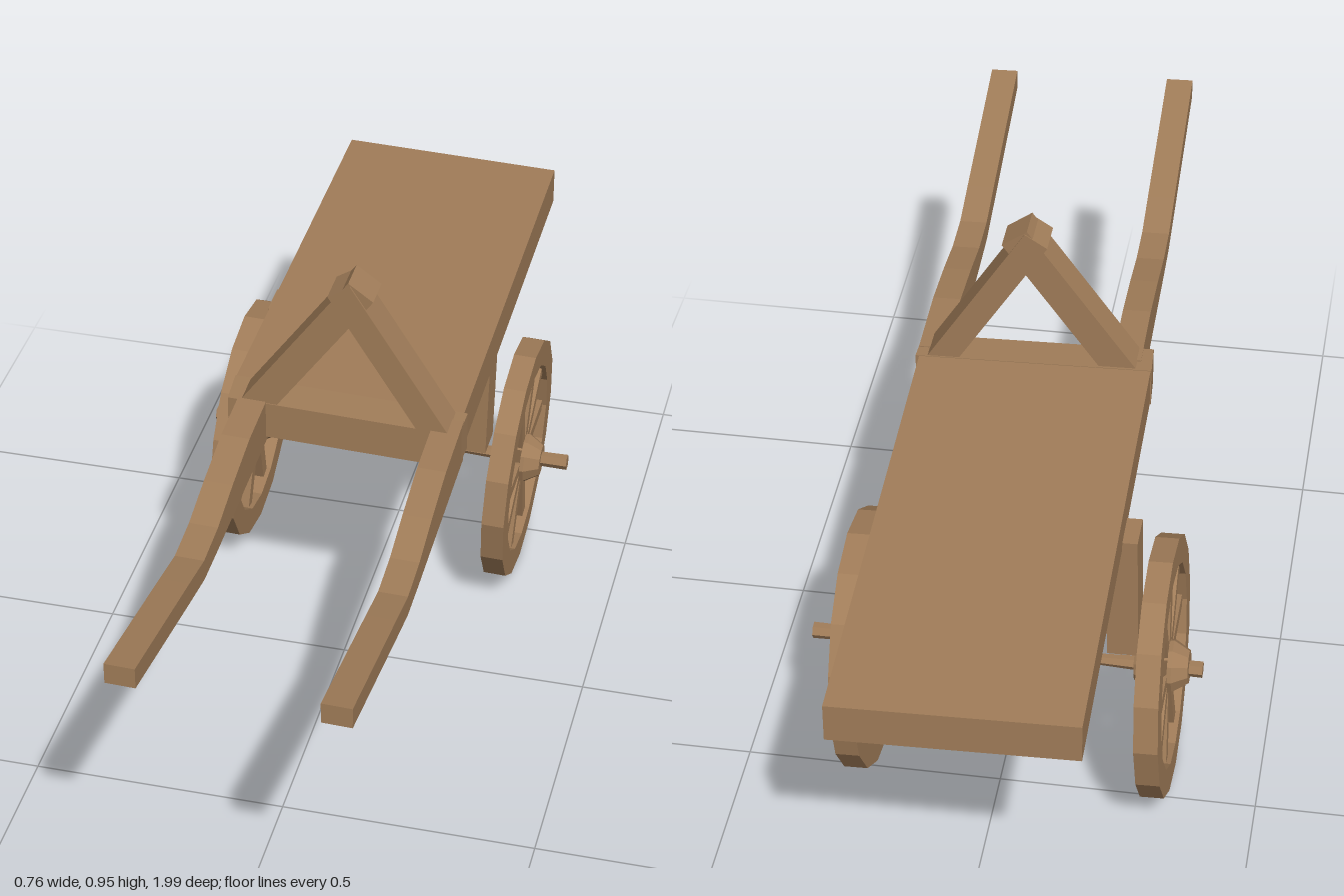
import * as THREE from 'three';

const wood = new THREE.MeshStandardMaterial({ color: 0xa17d59, flatShading: true });
wood.name = 'wood';

function add(parent, geometry, name) {
  const mesh = new THREE.Mesh(geometry, wood);
  mesh.name = name;
  parent.add(mesh);
  return mesh;
}

// Timber along z: rectangular sections [z, x0, x1, y0, y1], z increasing; the cart leans slightly to +x
function timber(sections, lean = 0.03) {
  const pos = [], index = [];
  for (const [z, x0, x1, y0, y1] of sections) {
    for (const [x, y] of [[x0, y0], [x1, y0], [x1, y1], [x0, y1]]) pos.push(x, y - lean * x, z);
  }
  for (let s = 0; s < sections.length - 1; s++) {
    for (let k = 0; k < 4; k++) {
      const a = s * 4 + k, b = s * 4 + (k + 1) % 4;
      index.push(a, b, b + 4, a, b + 4, a + 4);
    }
  }
  const e = (sections.length - 1) * 4;
  index.push(0, 2, 1, 0, 3, 2, e, e + 1, e + 2, e, e + 2, e + 3);
  const g = new THREE.BufferGeometry();
  g.setAttribute('position', new THREE.Float32BufferAttribute(pos, 3));
  g.setIndex(index);
  const flat = g.toNonIndexed();
  flat.computeVertexNormals();
  return flat;
}

// Square beam between two points in the x-y plane
function beam(parent, name, [x0, y0], [x1, y1], width, depth, z) {
  const m = add(parent, new THREE.BoxGeometry(width, Math.hypot(x1 - x0, y1 - y0), depth), name);
  m.position.set((x0 + x1) / 2, (y0 + y1) / 2, z);
  m.rotation.z = Math.atan2(y1 - y0, x1 - x0) - Math.PI / 2;
}

const lathe = (points, sides) =>
  new THREE.LatheGeometry(points.map(([r, y]) => new THREE.Vector2(r, y)), sides);

// Spoked wheel, built around y and then turned onto x
function wheel(name) {
  const g = new THREE.Group();
  g.name = name;
  add(g, lathe([[0.2, -0.023], [0.254, -0.023], [0.254, 0.023], [0.2, 0.023], [0.2, -0.023]], 16), 'rim');
  add(g, lathe([[0, -0.052], [0.033, -0.052], [0.052, -0.022], [0.052, 0.022], [0.033, 0.052], [0, 0.052]], 10), 'hub');
  for (let i = 0; i < 10; i++) {
    const a = (i + 0.5) * Math.PI / 5;
    const spoke = add(g, new THREE.BoxGeometry(0.18, 0.028, 0.026), 'spoke');
    spoke.position.set(Math.cos(a) * 0.125, 0, -Math.sin(a) * 0.125);
    spoke.rotation.y = a;
  }
  g.rotation.z = -Math.PI / 2 - 0.035;
  return g;
}

export function createModel() {
  const cart = new THREE.Group();
  cart.name = 'handcart';

  // Flat bed with a cross beam at its front
  add(cart, timber([[-1, -0.23, 0.226, 0.536, 0.614], [0.005, -0.218, 0.24, 0.566, 0.646]]), 'bed');
  add(cart, timber([[0, -0.22, 0.247, 0.565, 0.647], [0.075, -0.215, 0.245, 0.567, 0.645]]), 'crossBeam');

  // Curved handles: [z, bottom, top]
  const curve = [[0.03, 0.556, 0.648], [0.2, 0.558, 0.647], [0.33, 0.56, 0.63], [0.44, 0.561, 0.61],
    [0.54, 0.564, 0.607], [0.64, 0.586, 0.63], [0.985, 0.666, 0.708]];
  for (const [name, x] of [['rightHandle', -0.168], ['leftHandle', 0.217]]) {
    add(cart, timber(curve.map(([z, y0, y1]) => {
      const cx = x + 0.015 * z;
      return [z + (z > 0.9 ? 0.005 : 0), cx - 0.028, cx + 0.028, y0, y1];
    })), name);
  }

  // Crossed A-frame
  beam(cart, 'rightFrameBeam', [-0.185, 0.605], [0.05, 0.932], 0.06, 0.068, 0.039);
  beam(cart, 'leftFrameBeam', [0.215, 0.605], [0.008, 0.93], 0.052, 0.074, 0.04);

  // Legs below the bed
  beam(cart, 'rightLeg', [-0.228, 0.302], [-0.222, 0.575], 0.06, 0.075, -0.4);
  beam(cart, 'leftLeg', [0.184, 0.288], [0.19, 0.565], 0.06, 0.075, -0.4);

  // Wheels
  const rightWheel = wheel('rightWheel');
  rightWheel.position.set(-0.302, 0.262, -0.41);
  const leftWheel = wheel('leftWheel');
  leftWheel.position.set(0.273, 0.258, -0.41);
  cart.add(rightWheel, leftWheel);

  // Axle, thin in the middle, with stubs outside the hubs
  const axle = add(cart, lathe([[0, -0.38], [0.016, -0.38], [0.014, -0.25], [0.004, 0],
    [0.014, 0.25], [0.016, 0.38], [0, 0.38]], 6), 'axle');
  axle.rotation.z = -Math.PI / 2;
  axle.position.set(0, 0.26, -0.41);

  return cart;
}
